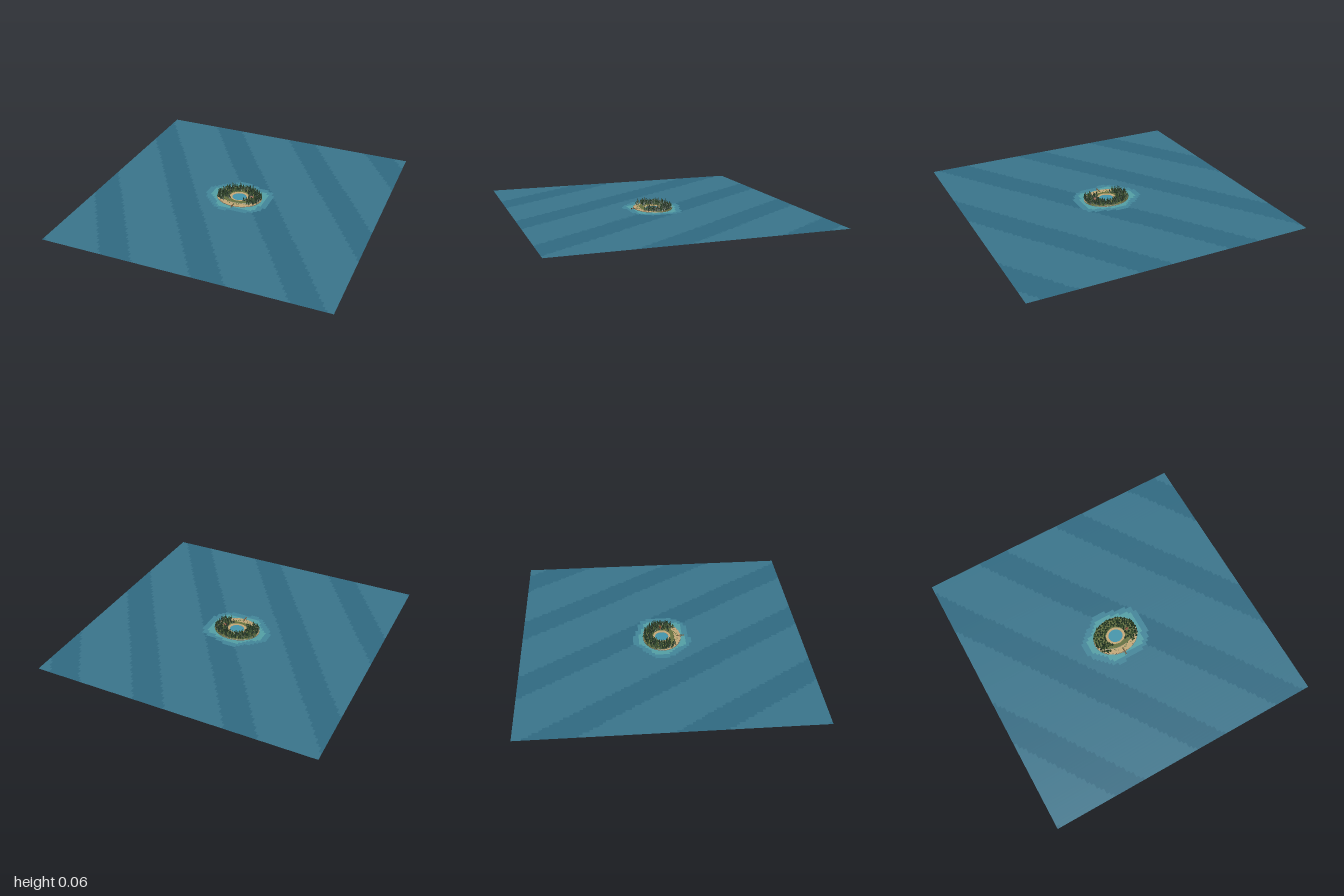
import * as THREE from 'three';
import { mergeGeometries } from 'three/addons/utils/BufferGeometryUtils.js';

const RX = 0.17, RZ = 0.14;   // island half-sizes
const SEA_Y = 0.01, LAND_Y = 0.016;

function seeded(seed) {
  return () => {
    seed = (seed * 1664525 + 1013904223) % 4294967296;
    return seed / 4294967296;
  };
}

function addMesh(group, name, geometry, color) {
  const material = new THREE.MeshStandardMaterial({ color, flatShading: true, side: THREE.DoubleSide });
  const mesh = new THREE.Mesh(geometry, material);
  mesh.name = name;
  group.add(mesh);
  return mesh;
}

// Flat elliptical ring facing up
function ring(outX, outZ, inX, inZ, y, cz = 0) {
  const shape = new THREE.Shape().absellipse(0, -cz, outX, outZ, 0, Math.PI * 2);
  shape.holes.push(new THREE.Path().absellipse(0, 0, inX, inZ, 0, Math.PI * 2, true));
  return new THREE.ShapeGeometry(shape, 20).rotateX(-Math.PI / 2).translate(0, y, 0);
}

function box(w, h, d, x, y, z) {
  return new THREE.BoxGeometry(w, h, d).translate(x, y, z);
}

// Square-celled sea: diagonal swell bands, and shallows around the island
function buildSea() {
  const sea = new THREE.Group();
  sea.name = 'sea';
  const kinds = [['deepWater', 0x3a758c], ['swellBands', 0x306a82], ['outerShallows', 0x43869a], ['innerShallows', 0x54a0a6]];
  const quads = kinds.map(() => []);
  const n = 96, s = 2 / n;
  const kindAt = (i, j) => {
    const x = -1 + (i + 0.5) * s, z = -1 + (j + 0.5) * s;
    const wobble = 0.06 * Math.sin(Math.atan2(z, x) * 5 + 1);
    const r = Math.hypot(x / 0.245, z / 0.2) + wobble;
    if (r < 0.82) return 3;
    if (r < 1) return 2;
    const u = (x - 0.675 * z - 0.17) / 0.645;
    return Math.abs(u - Math.round(u)) * 0.645 < 0.115 ? 1 : 0;
  };
  for (let j = 0; j < n; j++) {
    for (let i = 0, start = 0; i < n; i++) {
      const k = kindAt(i, j);
      if (i < n - 1 && kindAt(i + 1, j) === k) continue;
      const x0 = -1 + start * s, x1 = -1 + (i + 1) * s;
      quads[k].push(new THREE.PlaneGeometry(x1 - x0, s).rotateX(-Math.PI / 2)
        .translate((x0 + x1) / 2, SEA_Y, -1 + (j + 0.5) * s));
      start = i + 1;
    }
  }
  kinds.forEach(([name, color], k) => addMesh(sea, name, mergeGeometries(quads[k]), color));
  return sea;
}

// Shore wall, beach, grass and lagoon
function buildLand() {
  const land = new THREE.Group();
  land.name = 'land';
  const wall = new THREE.CylinderGeometry(0.97, 1, 0.013, 48, 1, true).scale(RX, 1, RZ).translate(0, 0.0065, 0);
  addMesh(land, 'shoreWall', wall, 0x6b5a44);
  addMesh(land, 'beach', mergeGeometries([
    ring(RX * 0.97, RZ * 0.97, 0.052, 0.048, 0.013),
    new THREE.CylinderGeometry(1, 1, 0.004, 32, 1, true).scale(0.052, 1, 0.048).translate(0, 0.011, 0),
  ]), 0xc4a878);
  addMesh(land, 'grass', ring(0.155, 0.108, 0.07, 0.062, LAND_Y, -0.022), 0x66713f);
  addMesh(land, 'grassEdge', new THREE.CylinderGeometry(1, 1.03, 0.003, 40, 1, true)
    .scale(0.155, 1, 0.108).translate(0, 0.0145, -0.022), 0x57603a);
  addMesh(land, 'lagoonWater', new THREE.CircleGeometry(1, 32).rotateX(-Math.PI / 2)
    .scale(0.052, 1, 0.048).translate(0, 0.0115, 0), 0x4496ac);
  addMesh(land, 'lagoonBed', box(0.05, 0.004, 0.05, 0, 0.006, 0), 0x7a5a3c);
  return land;
}

// Conifers scattered round the lagoon, with shrubs and rocks on the beach
function buildPlants() {
  const plants = new THREE.Group();
  plants.name = 'plants';
  const rand = seeded(11), spots = [];
  const trunks = [], foliage = [[], [], []], shrubs = [], rocks = [];
  for (let t = 0; t < 6000 && spots.length < 150; t++) {
    const x = (rand() * 2 - 1) * 0.165, z = rand() * 0.225 - 0.135;
    if (Math.hypot(x / 0.163, z / 0.131) > 1 || Math.hypot(x / 0.076, z / 0.068) < 1) continue;
    if (z > 0.055 && (Math.abs(x) < 0.09 || rand() < 0.6)) continue;
    if (Math.hypot(x - 0.095, z + 0.005) < 0.022) continue;
    if (spots.some(([a, b]) => Math.hypot(a - x, b - z) < 0.0125)) continue;
    spots.push([x, z]);
    const h = 0.026 + rand() * 0.018, r = 0.0065 + rand() * 0.003, turn = rand() * 6;
    trunks.push(new THREE.CylinderGeometry(0.0012, 0.0016, h * 0.4, 5).translate(x, 0.013 + h * 0.2, z));
    const tone = foliage[Math.floor(rand() * 3)];
    for (let k = 0; k < 3; k++) {
      tone.push(new THREE.ConeGeometry(r * (1 - k * 0.24), h * 0.42, 6).rotateY(turn + k)
        .translate(x, LAND_Y + h * (0.36 + k * 0.215), z));
    }
  }
  for (let i = 0; i < 34; i++) {
    const a = (i / 34) * Math.PI + rand() * 0.08, q = 0.62 + rand() * 0.2;
    const size = 0.003 + rand() * 0.002;
    shrubs.push(new THREE.IcosahedronGeometry(size, 0).translate(Math.cos(a) * RX * q, LAND_Y, Math.sin(a) * RZ * q));
  }
  for (let i = 0; i < 44; i++) {
    const a = rand() * Math.PI * 2, q = 0.93 + rand() * 0.04, size = 0.002 + rand() * 0.003;
    rocks.push(new THREE.DodecahedronGeometry(size, 0).scale(1, 0.7, 1)
      .translate(Math.cos(a) * RX * q, 0.012, Math.sin(a) * RZ * q));
  }
  addMesh(plants, 'treeTrunks', mergeGeometries(trunks), 0x4e3a28);
  [0x24381f, 0x2f4727, 0x1d2f20].forEach((c, i) => addMesh(plants, 'treeFoliage' + (i + 1), mergeGeometries(foliage[i]), c));
  addMesh(plants, 'shrubs', mergeGeometries(shrubs), 0x6f8045);
  addMesh(plants, 'shoreRocks', mergeGeometries(rocks), 0x6d6456);
  return plants;
}

// Small cabin in the east clearing and a pier at the front beach
function buildStructures() {
  const built = new THREE.Group();
  built.name = 'structures';
  addMesh(built, 'cabinWalls', box(0.016, 0.01, 0.013, 0.095, LAND_Y + 0.005, -0.005), 0x80603f);
  const roof = new THREE.CylinderGeometry(0.0095, 0.0095, 0.019, 3).rotateZ(Math.PI / 2)
    .rotateX(-Math.PI / 2).scale(1, 0.7, 1);
  roof.computeBoundingBox();
  roof.translate(0.095, LAND_Y + 0.01 - roof.boundingBox.min.y, -0.005);
  addMesh(built, 'cabinRoof', roof, 0x8a4a35);
  const planks = [], posts = [];
  for (let i = 0; i < 10; i++) planks.push(box(0.009, 0.0015, 0.005, 0, 0.0155, 0.106 + i * 0.0058));
  for (const z of [0.125, 0.142, 0.158]) {
    for (const x of [-0.004, 0.004]) posts.push(box(0.0015, 0.014, 0.0015, x, 0.01, z));
  }
  addMesh(built, 'pierPlanks', mergeGeometries(planks), 0x75583c);
  addMesh(built, 'pierPosts', mergeGeometries(posts), 0x4e3a28);
  return built;
}

export function createModel() {
  const model = new THREE.Group();
  model.name = 'lagoonIsland';
  model.add(buildSea(), buildLand(), buildPlants(), buildStructures());
  return model;
}
